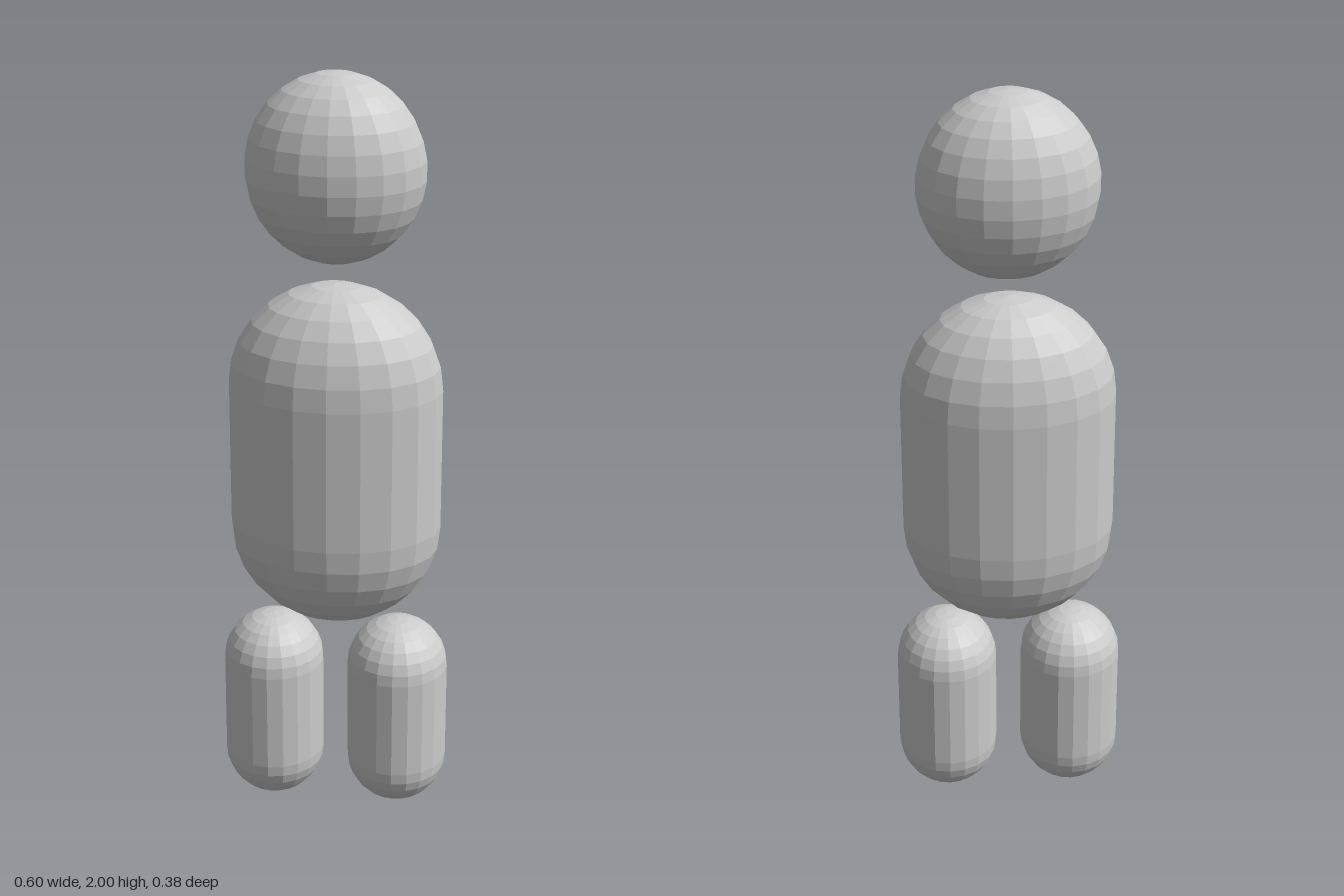
import * as THREE from 'three';

const SIDES = 20;
const material = new THREE.MeshStandardMaterial({ color: 0xcccccc, flatShading: true });

// Upright pill with an oval section, standing between two heights
function pill(name, x, bottom, top, rx, rz) {
  const geometry = new THREE.CapsuleGeometry(rx, top - bottom - 2 * rx, 7, SIDES, 1);
  geometry.scale(1, 1, rz / rx);
  const mesh = new THREE.Mesh(geometry, material);
  mesh.name = name;
  mesh.position.set(x, (bottom + top) / 2, 0);
  return mesh;
}

export function createModel() {
  const figure = new THREE.Group();
  figure.name = 'figure';

  // Head: egg-like ellipsoid floating above the body
  const headGeometry = new THREE.SphereGeometry(1, SIDES, 15);
  headGeometry.scale(0.225, 0.24, 0.168);
  const head = new THREE.Mesh(headGeometry, material);
  head.name = 'head';
  head.position.y = 1.76;
  figure.add(head);

  // Torso
  figure.add(pill('torso', 0, 0.535, 1.465, 0.274, 0.192));

  // Legs, mirrored about the middle
  for (const [name, side] of [['leftLeg', 1], ['rightLeg', -1]]) {
    figure.add(pill(name, side * 0.166, 0, 0.535, 0.133, 0.136));
  }
  return figure;
}
